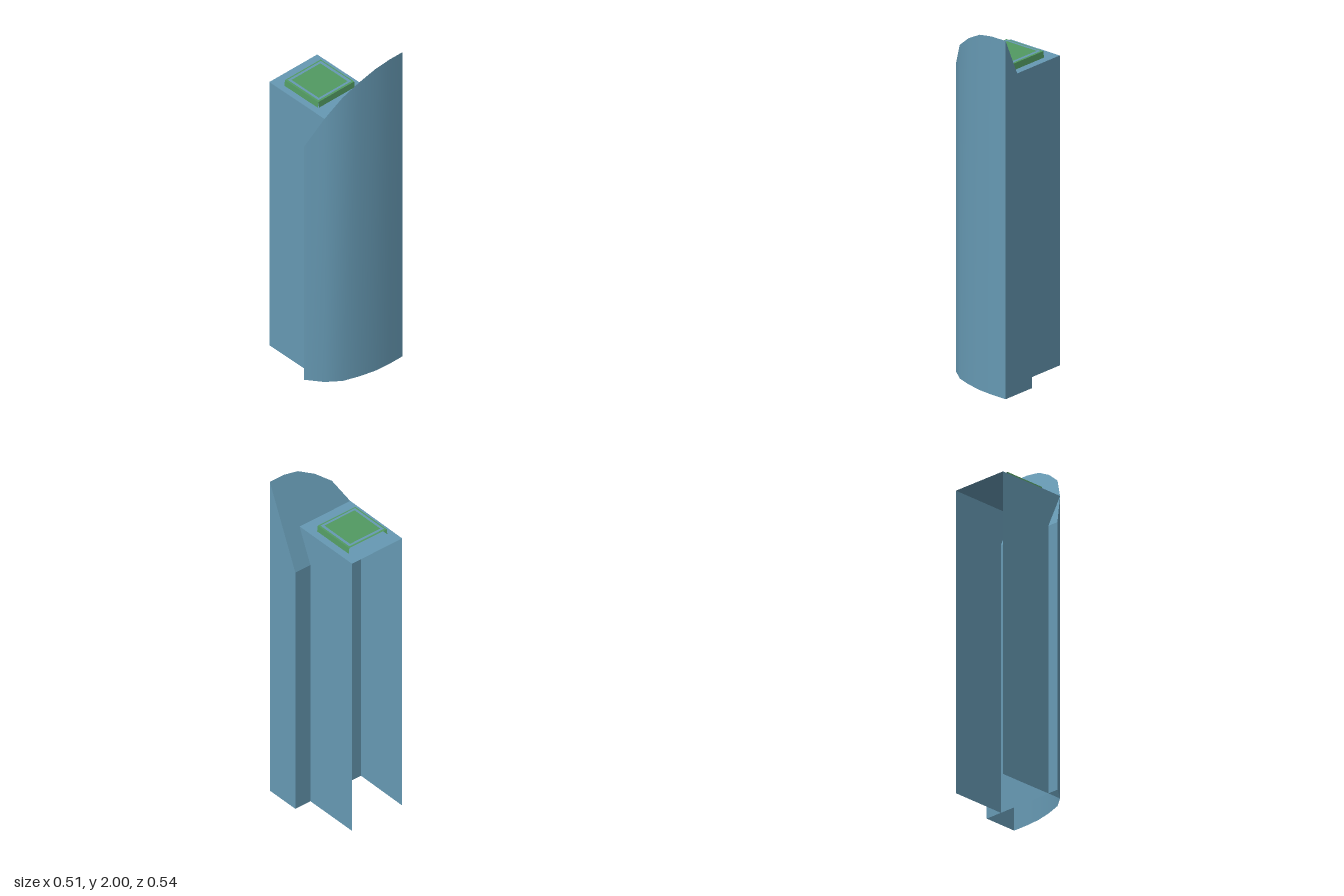
import * as THREE from 'three';

const blue = new THREE.MeshStandardMaterial({ color: 0x6699b3, side: THREE.DoubleSide });
blue.name = 'blueCladding';
const green = new THREE.MeshStandardMaterial({ color: 0x529a62, side: THREE.DoubleSide });
green.name = 'greenPad';

// Height of the sloping slab top at depth z
const slope = z => 1.53 + (z - 0.065) * (0.47 / 0.205);

// Vertical sheet following [x, z] points; smooth along its length
function sheet(points, bottom, top, flare = [0, 0]) {
  const pos = [], index = [];
  points.forEach(([x, z], i) => {
    pos.push(x + flare[0], bottom, z + flare[1], x, top(z), z);
    if (i > 0) {
      const a = 2 * (i - 1);
      index.push(a, a + 2, a + 3, a, a + 3, a + 1);
    }
  });
  const g = new THREE.BufferGeometry();
  g.setAttribute('position', new THREE.Float32BufferAttribute(pos, 3));
  g.setIndex(index);
  g.computeVertexNormals();
  return g;
}

// Upward-facing sheet covering an [x, z] outline at height y(z)
function cover(outline, y, hole) {
  const flat = pts => pts.map(([x, z]) => new THREE.Vector2(x, -z));
  const shape = new THREE.Shape(flat(outline));
  if (hole) shape.holes.push(new THREE.Path(flat(hole)));
  const g = new THREE.ShapeGeometry(shape);
  const p = g.attributes.position;
  for (let i = 0; i < p.count; i++) {
    const z = -p.getY(i);
    p.setXYZ(i, p.getX(i), y(z), z);
  }
  g.computeVertexNormals();
  return g;
}

const rect = (x0, x1, z0, z1) => [[x0, z1], [x1, z1], [x1, z0], [x0, z0]];

export function createModel() {
  const model = new THREE.Group();
  model.name = 'tower';
  const add = (name, geometry, material, parent) => {
    const mesh = new THREE.Mesh(geometry, material);
    mesh.name = name;
    parent.add(mesh);
  };
  const group = name => {
    const g = new THREE.Group();
    g.name = name;
    model.add(g);
    return g;
  };

  // Curved front slab, open underneath, with a sloping top
  const slab = group('frontSlab');
  const curve = [
    [-0.255, 0.065], [-0.19, 0.152], [-0.115, 0.21], [-0.025, 0.241],
    [0.07, 0.263], [0.16, 0.27], [0.255, 0.27],
  ];
  add('curvedFacade', sheet(curve, 0, slope), blue, slab);
  add('slabSide', sheet([[0.255, 0.27], [0.255, 0.065]], 0, slope), blue, slab);
  add('slabBack', sheet([[0.255, 0.065], [-0.255, 0.065]], 0, slope), blue, slab);
  add('slabSlope', cover([...curve, [0.255, 0.065]], slope), blue, slab);

  // Rear block: two side walls and a roof, open at the back and underneath
  const block = group('rearBlock');
  const roofY = () => 1.73;
  add('leftWall', sheet([[0.153, 0.151], [0.153, -0.27]], 0, roofY), blue, block);
  add('rightWall', sheet([[-0.187, -0.27], [-0.19, 0.151]], 0, roofY), blue, block);
  add('roof', cover([[-0.19, 0.151], [0.153, 0.151], [0.153, -0.27], [-0.187, -0.27]], roofY), blue, block);

  // Raised roof pad with slightly flared sides, open at the back
  const pad = group('roofPad');
  const padY = () => 1.765;
  const [x0, x1, z0, z1] = [-0.147, 0.107, -0.194, 0.06];
  add('padTop', cover(rect(x0, x1, z0, z1), padY), green, pad);
  add('padFront', sheet([[x0, z1], [x1, z1]], 1.73, padY, [0, 0.004]), green, pad);
  add('padLeft', sheet([[x1, z1], [x1, z0]], 1.73, padY, [0.004, 0]), green, pad);
  add('padRight', sheet([[x0, z0], [x0, z1]], 1.73, padY, [-0.004, 0]), green, pad);

  // Painted square border on the pad
  add('padBorder', cover(rect(-0.137, 0.098, -0.184, 0.05), () => 1.767,
    rect(-0.123, 0.082, -0.17, 0.037)), blue, pad);

  return model;
}
